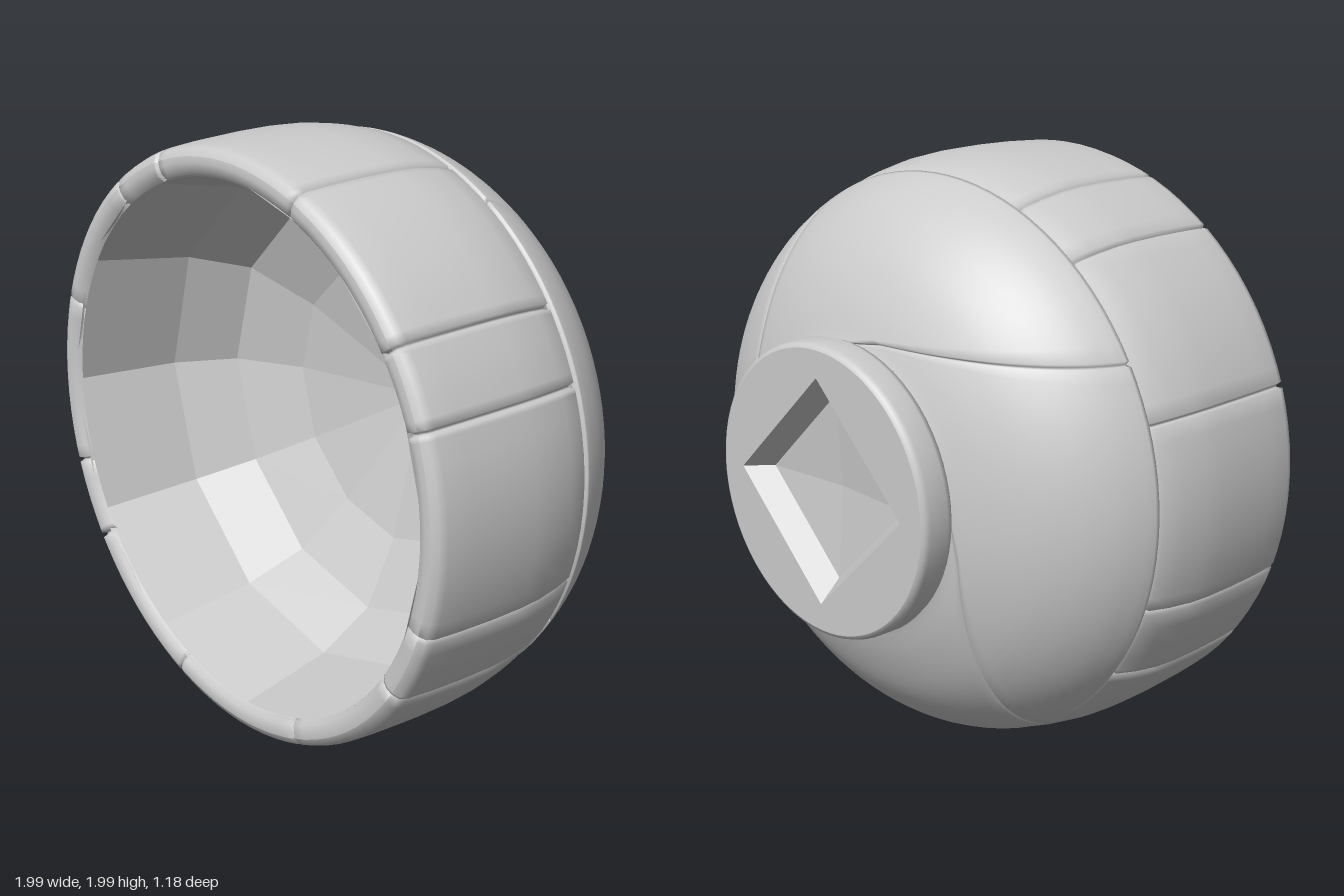
import * as THREE from 'three';

const material = new THREE.MeshStandardMaterial({ color: 0xcccccc, side: THREE.DoubleSide });
const facetedMaterial = new THREE.MeshStandardMaterial({ color: 0xcccccc, side: THREE.DoubleSide, flatShading: true });
const TAU = Math.PI * 2;
const deg = THREE.MathUtils.degToRad;

// Evenly spaced column angles around the z axis
const evenAngles = (n) => Array.from({ length: n }, (_, i) => ({ phi: (i / n) * TAU, depth: 0 }));

// Column angles with a narrow notch cut at each seam
function seamAngles(n, seams, depth, half = 0.007) {
  const wrap = (a) => ((a % TAU) + TAU) % TAU;
  const cols = evenAngles(n).filter(({ phi }) =>
    seams.every((s) => Math.abs(Math.atan2(Math.sin(phi - s), Math.cos(phi - s))) > half * 2));
  for (const s of seams) {
    cols.push({ phi: wrap(s - half), depth: 0 }, { phi: wrap(s), depth }, { phi: wrap(s + half), depth });
    cols.push({ phi: wrap(s + half * 2), depth: 0 });
  }
  return cols.sort((a, b) => a.phi - b.phi);
}

// Surface of revolution about z; profile holds [radius, z], twist turns each ring
function revolve(profile, columns, twist = () => 0) {
  const pos = [], index = [], n = columns.length;
  profile.forEach(([r, z], i) => {
    const a = profile[Math.max(i - 1, 0)], b = profile[Math.min(i + 1, profile.length - 1)];
    const dr = b[0] - a[0], dz = b[1] - a[1], len = Math.hypot(dr, dz);
    for (const { phi, depth } of columns) {
      const rr = r - (depth * dz) / len, zz = z + (depth * dr) / len, t = phi + twist(r);
      pos.push(rr * Math.cos(t), rr * Math.sin(t), zz);
    }
  });
  for (let i = 0; i < profile.length - 1; i++) {
    for (let j = 0; j < n; j++) {
      const k = (j + 1) % n, a = i * n + j, b = i * n + k;
      index.push(a, b, b + n, a, b + n, a + n);
    }
  }
  const geometry = new THREE.BufferGeometry();
  geometry.setAttribute('position', new THREE.Float32BufferAttribute(pos, 3));
  geometry.setIndex(index);
  geometry.computeVertexNormals();
  return geometry;
}

// Smooth a coarse profile
const smooth = (points, n) =>
  new THREE.CatmullRomCurve3(points.map(([r, z]) => new THREE.Vector3(r, z, 0)))
    .getPoints(n).map((p) => [p.x, p.y]);

export function createModel() {
  const group = new THREE.Group();
  const add = (name, geometry, mat = material) => {
    const mesh = new THREE.Mesh(geometry, mat);
    mesh.name = name;
    mesh.position.y = 1;
    group.add(mesh);
  };

  // Upright band and rounded rim, split into blocks by radial seams
  const bandSeams = [20, 35, 69, 111, 127, 161, 198, 215, 250, 289, 325, 341].map(deg);
  const bandColumns = seamAngles(96, bandSeams, 0.018);
  add('outerBand', revolve([
    [0.935, -0.055], [0.955, -0.045], [0.975, 0.03], [0.99, 0.12], [0.995, 0.2], [0.995, 0.32],
    [0.99, 0.45], [0.983, 0.54], [0.973, 0.567], [0.95, 0.58],
  ], bandColumns));
  add('rim', revolve([[0.95, 0.58], [0.93, 0.583], [0.905, 0.578], [0.885, 0.56]], bandColumns));

  // Domed back, its four seams sweeping straight past the foot like a pinwheel
  const dome = smooth([
    [0.47, -0.475], [0.6, -0.425], [0.73, -0.355], [0.83, -0.27], [0.9, -0.18], [0.94, -0.1], [0.953, -0.062],
  ], 20);
  dome.push([0.935, -0.055]);
  add('domedBack', revolve(dome, seamAngles(96, [0, 90, 180, 270].map(deg), 0.012),
    (r) => Math.acos(Math.min(1, 0.49 / r))));

  // Faceted hollow: two wall tiers and a shallow conical floor
  const facets = evenAngles(12);
  add('innerWall', revolve([[0.92, 0.57], [0.84, 0.2], [0.73, 0]], facets), facetedMaterial);
  add('innerFloor', revolve([[0.73, 0], [0.5, -0.12], [0, -0.25]], facets), facetedMaterial);

  // Round foot
  add('footSide', revolve([
    [0.47, -0.595], [0.482, -0.588], [0.488, -0.57], [0.489, -0.5], [0.48, -0.475], [0.45, -0.462],
  ], evenAngles(64)));

  // Foot face with a diamond opening
  const face = new THREE.Shape().absarc(0, 0, 0.47, 0, TAU);
  face.holes.push(new THREE.Path([[0.38, 0], [0, -0.38], [-0.38, 0], [0, 0.38]].map(([x, y]) => new THREE.Vector2(x, y))));
  add('footFace', new THREE.ShapeGeometry(face, 64).rotateY(Math.PI).translate(0, 0, -0.595));

  // Tapered diamond recess with a slightly sunken centre
  add('footRecess', revolve([[0, -0.49], [0.31, -0.515], [0.38, -0.595]], evenAngles(4)), facetedMaterial);

  return group;
}
